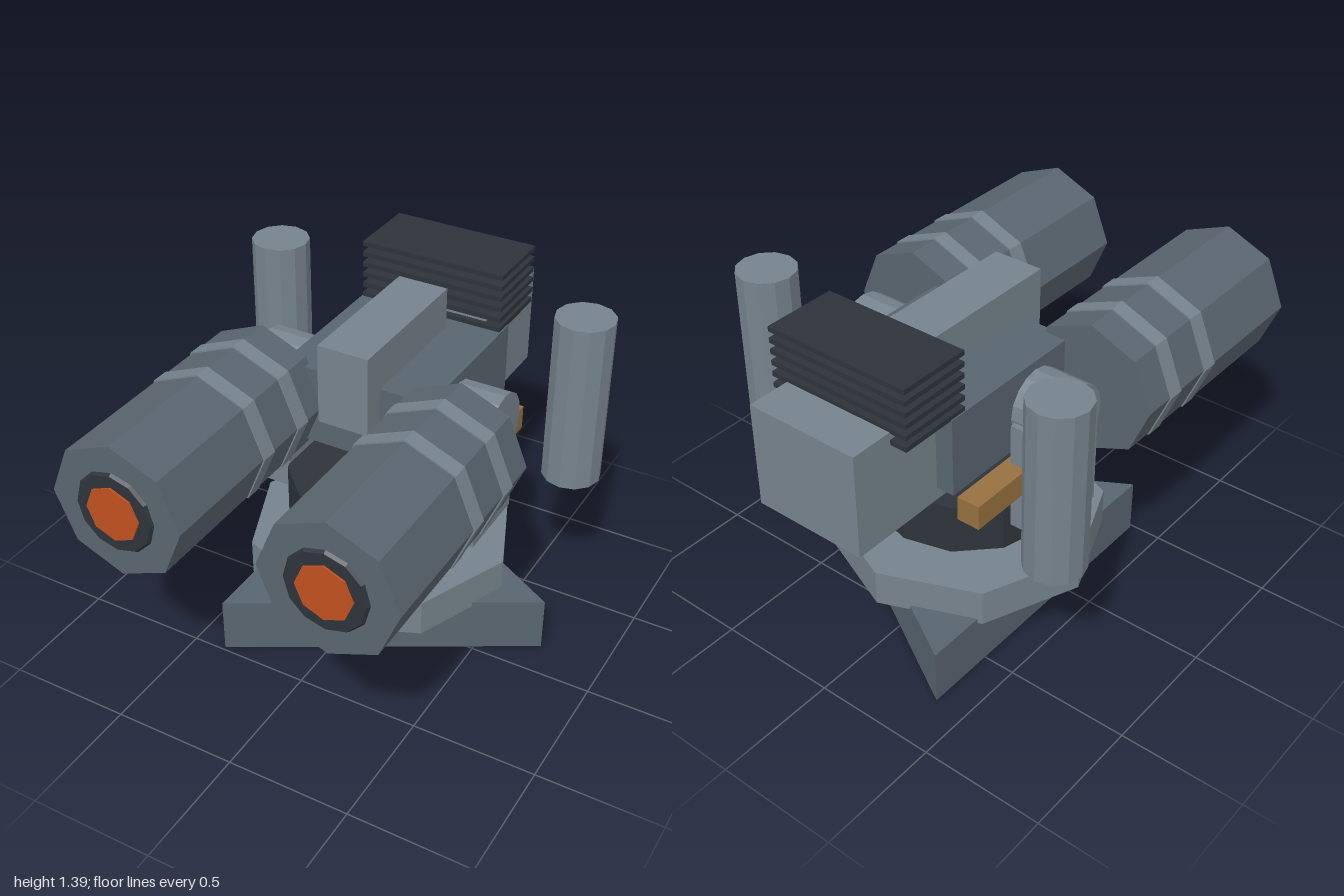
import * as THREE from 'three';

const mat = (color) => new THREE.MeshStandardMaterial({ color, flatShading: true });

export function createModel() {
  const model = new THREE.Group();
  model.name = 'turret';
  const light = mat(0x76838d), mid = mat(0x59656f), dark = mat(0x2d343a);
  const brown = mat(0x96703f), orange = mat(0xc05020);

  const add = (name, geometry, material, x, y, z) => {
    const mesh = new THREE.Mesh(geometry, material);
    mesh.name = name;
    mesh.position.set(x, y, z);
    model.add(mesh);
    return mesh;
  };
  const box = (name, m, w, h, d, x, y, z) => add(name, new THREE.BoxGeometry(w, h, d), m, x, y, z);
  const drum = (name, m, r, h, sides, x, y, z, rTop = r) =>
    add(name, new THREE.CylinderGeometry(rTop, r, h, sides), m, x, y, z);
  // cylinder lying along z, between two depths
  const tube = (name, m, r, z0, z1, sides, x, rFront = r) => {
    const mesh = drum(name, m, r, z1 - z0, sides, x, 0.98, (z0 + z1) / 2, rFront);
    mesh.geometry.rotateX(Math.PI / 2);
    return mesh;
  };
  // welds one corner of a geometry onto another point
  const collapse = (geometry, from, to) => {
    const p = geometry.attributes.position, v = new THREE.Vector3();
    for (let i = 0; i < p.count; i++) {
      if (v.fromBufferAttribute(p, i).distanceTo(from) < 0.01) p.setXYZ(i, to.x, to.y, to.z);
    }
    geometry.computeVertexNormals();
  };

  // Triangular foot, octagonal plate and turning collar
  drum('foot', mid, 0.735, 0.23, 3, 0, 0.115, -0.15).geometry.rotateY(Math.PI / 2);
  drum('basePlate', light, 0.545, 0.15, 8, 0, 0.285, -0.15);
  const collar = drum('collar', dark, 0.38, 0.21, 12, 0, 0.525, -0.15);
  collapse(collar.geometry, new THREE.Vector3(0.38, -0.105, 0), new THREE.Vector3(0.329, -0.105, -0.19));

  // Central housing
  box('body', mid, 0.62, 0.32, 0.67, 0, 0.983, -0.265);
  box('topHousing', light, 0.21, 0.325, 0.62, 0, 1.15, -0.15);
  box('rearBox', light, 0.47, 0.42, 0.45, 0, 0.98, -0.775);

  // Stack of cooling fins
  for (let i = 0; i < 6; i++) {
    box('coolingFin', dark, 0.61, 0.02, 0.3, 0, 1.15 + i * 0.0452, -0.675);
  }

  for (const s of [-1, 1]) {
    // Side bracket with its pivot
    box('bracket', light, 0.15, 0.45, 0.325, s * 0.41, 0.745, -0.148);
    drum('pivot', light, 0.14, 0.19, 16, s * 0.415, 0.98, -0.15).geometry.rotateZ(Math.PI / 2);
    box('supportRail', brown, 0.095, 0.1, 0.76, s * 0.358, 0.755, -0.2);

    // Upright canister
    drum('canister', light, 0.118, 0.7, 12, s * 0.667, 0.98, -0.485);

    // Barrel with two bands, a bevelled muzzle and a glowing core
    const x = s * 0.42;
    const barrel = tube('barrel', mid, 0.27, 0.04, 0.98, 8, x);
    if (s > 0) {
      collapse(barrel.geometry, new THREE.Vector3(0, -0.27, -0.47), new THREE.Vector3(0.191, -0.191, -0.47));
    }
    for (const z of [0.17, 0.4]) tube('barrelBand', light, 0.276, z, z + 0.068, 8, x);
    tube('muzzle', dark, 0.17, 0.97, 0.992, 12, x, 0.155);
    tube('muzzleCore', orange, 0.11, 0.975, 1.0, 8, x);
  }
  return model;
}
